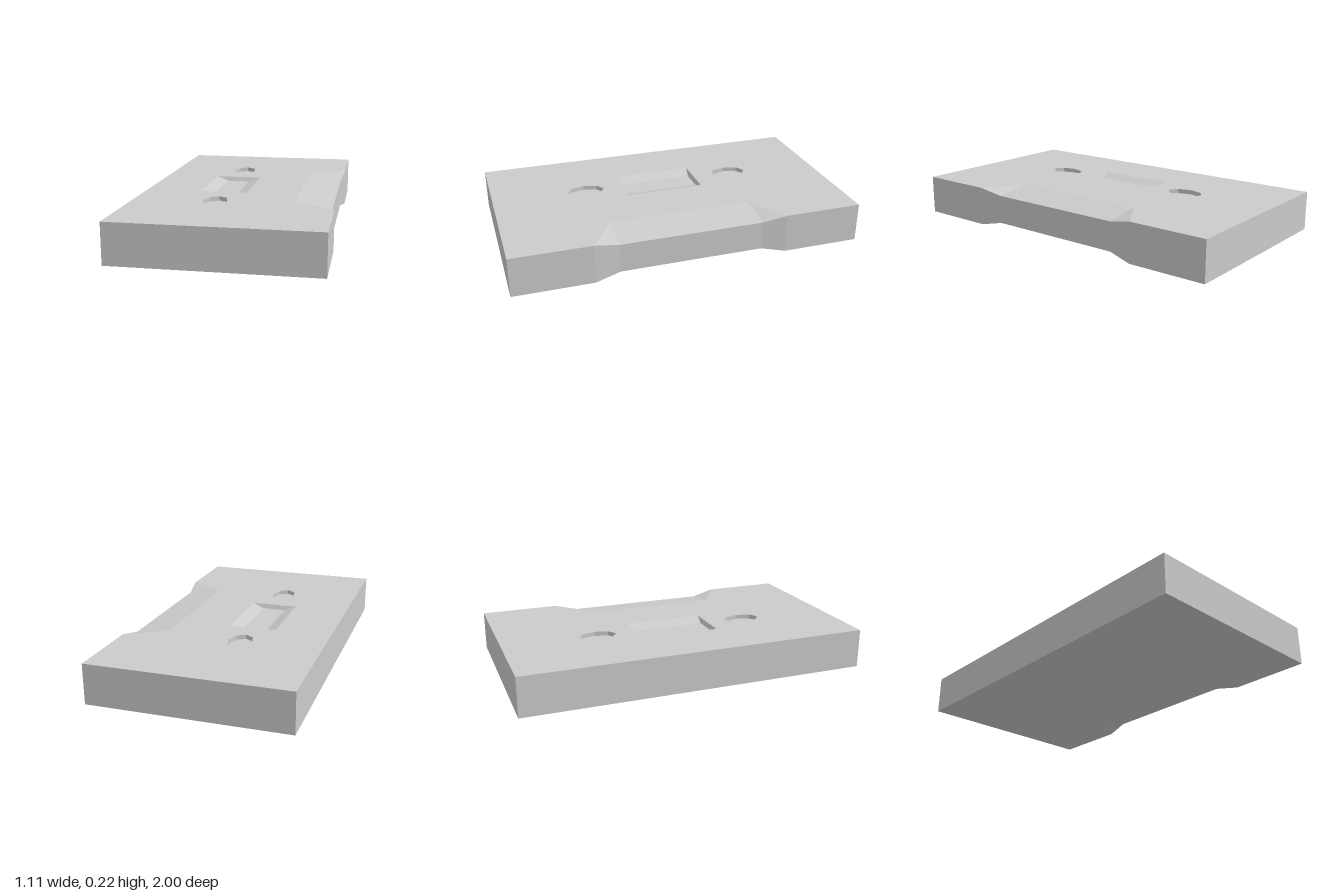
import * as THREE from 'three';

const W = 0.555, H = 0.225, L = 1;          // half width, height, half length
const NX = 0.33, NE = 0.535, ND = 0.03;     // notch inner x, outer x, depth
const N1 = 0.41, N2 = 0.55;                 // notch half length, inner and outer
const CX = -0.102, DEPTH = 0.025;           // centre line and depth of the recesses

// Fans flat polygons into a mesh, turning each one towards its outward direction.
function facets(name, list, material) {
  const pos = [];
  for (const [out, ...pts] of list) {
    const p = pts.map(a => new THREE.Vector3(...a));
    const n = p[1].clone().sub(p[0]).cross(p[2].clone().sub(p[0]));
    if (n.dot(new THREE.Vector3(...out)) < 0) p.reverse();
    for (let i = 1; i < p.length - 1; i++)
      for (const v of [p[0], p[i], p[i + 1]]) pos.push(v.x, v.y, v.z);
  }
  const g = new THREE.BufferGeometry();
  g.setAttribute('position', new THREE.Float32BufferAttribute(pos, 3));
  g.computeVertexNormals();
  const mesh = new THREE.Mesh(g, material);
  mesh.name = name;
  return mesh;
}

export function createModel() {
  const group = new THREE.Group();
  group.name = 'notchedBlock';
  const mat = new THREE.MeshStandardMaterial({ color: 0xcccccc, flatShading: true });
  const v2 = pts => pts.map(([x, z]) => new THREE.Vector2(x, -z));

  // Outlines in plan: block with side notch, two eight-sided slots, central trough
  const outline = [[-W, L], [W, L], [W, N2], [NX, N1], [NX, -N1], [W, -N2], [W, -L], [-W, -L]];
  const slot = zc => Array.from({ length: 8 }, (_, i) => {
    const a = i * Math.PI / 4;
    return [CX + 0.068 * Math.cos(a), zc + 0.109 * Math.sin(a)];
  });
  const rect = (hx, hz) => [[CX - hx, -hz], [CX + hx, -hz], [CX + hx, hz], [CX - hx, hz]];
  const slots = [slot(0.453), slot(-0.453)];
  const troughRim = rect(0.136, 0.228), troughFloor = rect(0.068, 0.215);

  // Top and bottom plates
  const plate = (name, holes, y, turn) => {
    const shape = new THREE.Shape(v2(outline));
    for (const h of holes) shape.holes.push(new THREE.Path(v2(h)));
    const mesh = new THREE.Mesh(new THREE.ShapeGeometry(shape).rotateX(turn), mat);
    mesh.position.y = y;
    mesh.name = name;
    group.add(mesh);
  };
  plate('topFace', [...slots, troughRim], H, -Math.PI / 2);
  plate('bottomFace', [], 0, Math.PI / 2);

  // Outer walls, pinched in at the notch
  const walls = [
    [[-1, 0, 0], [-W, 0, -L], [-W, 0, L], [-W, H, L], [-W, H, -L]],
    [[1, 0, 0], [NE, ND, -N1], [NE, ND, N1], [NE, H - ND, N1], [NE, H - ND, -N1]],
  ];
  for (const s of [1, -1]) walls.push(
    [[0, 0, s], [-W, 0, s * L], [W, 0, s * L], [W, H, s * L], [-W, H, s * L]],
    [[1, 0, 0], [W, 0, s * L], [W, 0, s * N2], [W, H, s * N2], [W, H, s * L]],
    [[1, 0, 0], [W, 0, s * N2], [NE, ND, s * N1], [NE, H - ND, s * N1], [W, H, s * N2]],
  );
  group.add(facets('sideWalls', walls, mat));

  // Sloping notch faces, above and below
  for (const [name, y, d, up] of [['upperNotch', H, H - ND, 1], ['lowerNotch', 0, ND, -1]]) {
    const list = [[[0, up, 0], [NX, y, -N1], [NX, y, N1], [NE, d, N1], [NE, d, -N1]]];
    for (const s of [1, -1])
      list.push([[0, up, 0], [NX, y, s * N1], [NE, d, s * N1], [W, y, s * N2]]);
    group.add(facets(name, list, mat));
  }

  // Recess with a floor and walls facing its centre
  const recess = (name, rim, floor, zc) => {
    const low = H - DEPTH;
    const list = [[[0, 1, 0], ...floor.map(([x, z]) => [x, low, z])]];
    rim.forEach(([x, z], i) => {
      const j = (i + 1) % rim.length, [x2, z2] = rim[j];
      const [fx, fz] = floor[i], [fx2, fz2] = floor[j];
      list.push([[CX - (x + x2) / 2, 0, zc - (z + z2) / 2],
        [x, H, z], [x2, H, z2], [fx2, low, fz2], [fx, low, fz]]);
    });
    group.add(facets(name, list, mat));
  };
  recess('frontSlot', slots[0], slots[0], 0.453);
  recess('backSlot', slots[1], slots[1], -0.453);
  recess('centreTrough', troughRim, troughFloor, 0);

  return group;
}
